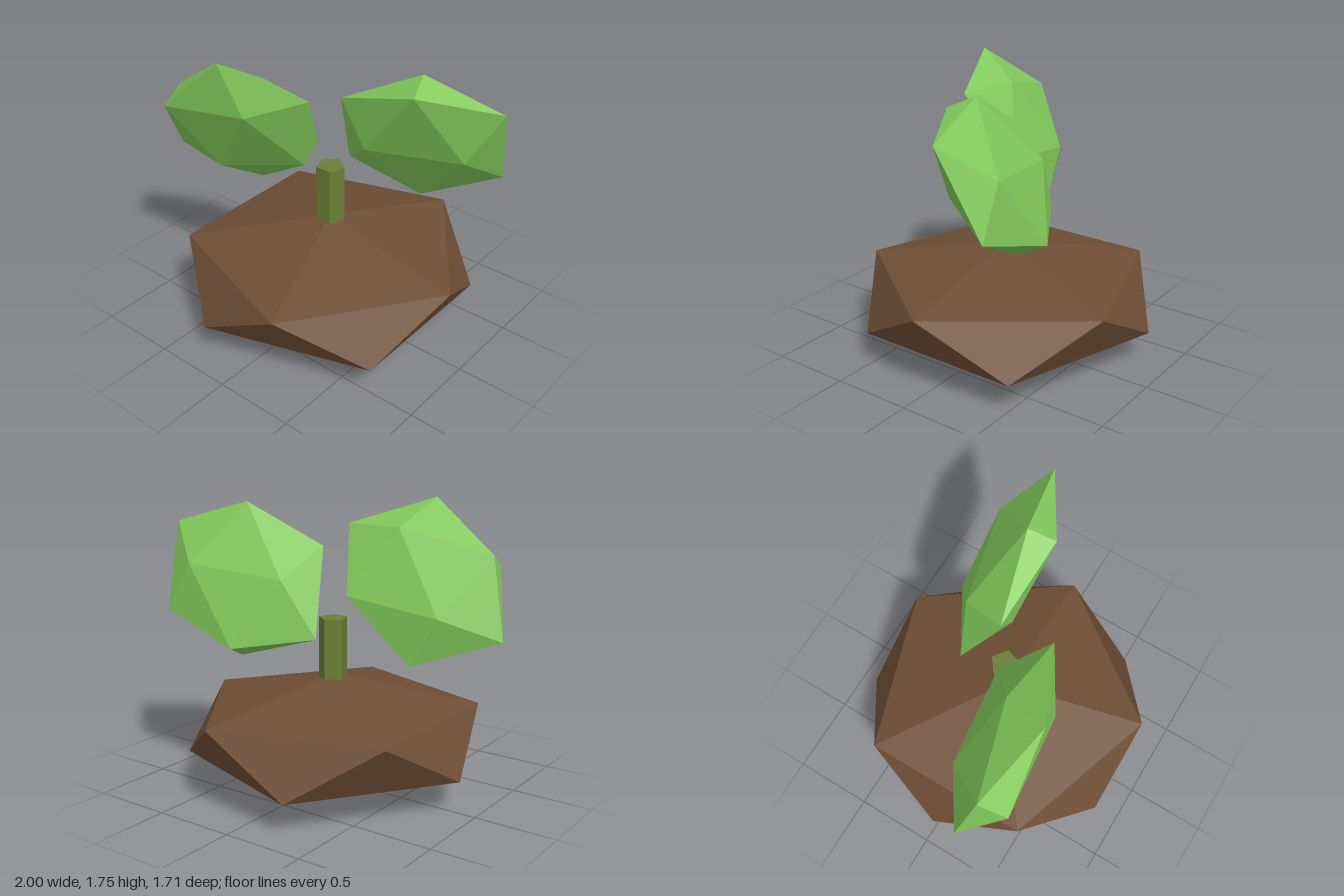
import * as THREE from 'three';
import { ConvexGeometry } from 'three/addons/geometries/ConvexGeometry.js';

function material(name, color) {
  const m = new THREE.MeshStandardMaterial({ color });
  m.name = name;
  return m;
}

function part(name, geometry, mat) {
  const mesh = new THREE.Mesh(geometry, mat);
  mesh.name = name;
  return mesh;
}

// A leaf is a squashed, tilted icosahedron: six half-axes mirrored through its centre
function leafGeometry(center, halfAxes) {
  const c = new THREE.Vector3(...center);
  const points = halfAxes.flatMap((a) => {
    const v = new THREE.Vector3(...a);
    return [c.clone().add(v), c.clone().sub(v)];
  });
  return new ConvexGeometry(points);
}

export function createModel() {
  const group = new THREE.Group();
  group.name = 'sprout';
  const soil = material('soil brown', 0x6f4e35);
  const stemGreen = material('stem olive', 0x6b7d35);
  const leafGreen = material('leaf green', 0x82c95a);

  // Soil mound: icosahedron standing on one corner, flattened
  const mound = new THREE.IcosahedronGeometry(1, 0);
  mound.rotateZ(-Math.atan(2 / (1 + Math.sqrt(5))));
  mound.scale(1.003, 0.347, 1.003);
  mound.translate(0, 0.347 + 0.005, 0);
  group.add(part('soilMound', mound, soil));

  // Five-sided stem with a flat side to the front
  const stem = new THREE.CylinderGeometry(0.09, 0.09, 0.4, 5).toNonIndexed();
  stem.computeVertexNormals();
  stem.rotateY(Math.PI);
  stem.translate(0, 0.85, 0);
  group.add(part('stem', stem, stemGreen));

  // Front leaf on the right, back leaf on the left
  group.add(part('rightLeaf', leafGeometry([-0.465, 1.285, 0.27], [
    [0.045, 0.475, 0.22], [-0.375, 0.095, 0.26], [0.535, 0.305, 0],
    [-0.415, 0.175, 0.09], [0.215, 0.175, 0.2], [0.135, 0.31, -0.06],
  ]), leafGreen));
  group.add(part('leftLeaf', leafGeometry([0.465, 1.282, -0.27], [
    [0.055, 0.45, 0.1], [0.105, 0.375, 0.26], [0.535, 0.31, 0],
    [-0.43, 0.205, 0.22], [-0.265, -0.09, 0.2], [0.335, -0.03, 0.07],
  ]), leafGreen));

  return group;
}
